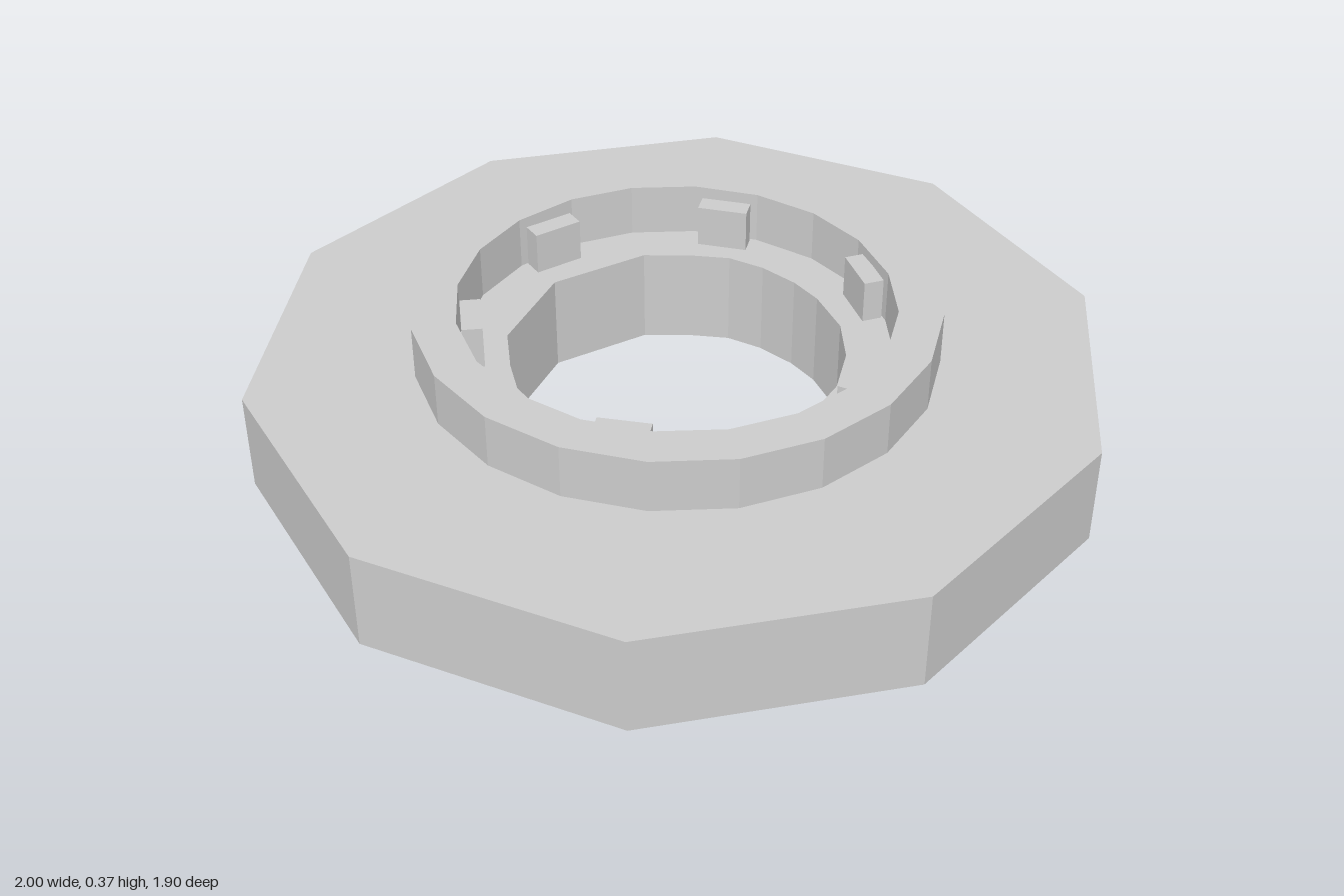
import * as THREE from 'three';

const BASE_TOP = 0.24, RING_TOP = 0.37;

// Regular polygon in plan, one corner on +x; plan points are (x, -z)
const polygon = (sides, rx, ry = rx, cy = 0) =>
  Array.from({ length: sides }, (_, i) => {
    const a = (i / sides) * Math.PI * 2;
    return new THREE.Vector2(rx * Math.cos(a), cy + ry * Math.sin(a));
  });

// Flat plate with a hole, standing from y0 to y1
function plate(name, outline, hole, y0, y1, material) {
  const shape = new THREE.Shape(outline);
  shape.holes.push(new THREE.Path(hole));
  const geometry = new THREE.ExtrudeGeometry(shape, { depth: y1 - y0, bevelEnabled: false });
  geometry.rotateX(-Math.PI / 2).translate(0, y0, 0);
  const mesh = new THREE.Mesh(geometry, material);
  mesh.name = name;
  return mesh;
}

export function createModel() {
  const group = new THREE.Group();
  group.name = 'decagonalSocket';
  const material = new THREE.MeshStandardMaterial({ color: 0xcccccc, flatShading: true });

  // Bore: right half of the outline as [x, z], back to front, then mirrored
  const half = [[0, -0.405], [0.236, -0.327], [0.316, -0.235], [0.367, -0.16], [0.388, -0.07],
    [0.388, 0.03], [0.37, 0.115], [0.316, 0.228], [0.23, 0.313], [0.12, 0.372], [0, 0.394]];
  const mirrored = half.slice(1, -1).reverse().map(([x, z]) => [-x, z]);
  const bore = [...half, ...mirrored].map(([x, z]) => new THREE.Vector2(x, -z));

  // Ten-sided base and twenty-sided raised ring
  group.add(plate('base', polygon(10, 1), bore, 0, BASE_TOP, material));
  group.add(plate('raisedRing', polygon(20, 0.606, 0.611, 0.006),
    polygon(20, 0.502, 0.511, 0.008), BASE_TOP, RING_TOP, material));

  // Six small lugs on the ledge inside the ring: x, z, turn in degrees
  const lugs = [[0.07, -0.474, -15], [0.415, -0.22, -62], [0.418, 0.214, 60],
    [0.07, 0.466, 15], [-0.415, 0.212, -59], [-0.335, -0.337, 49]];
  const height = 0.105;
  const lugGeometry = new THREE.BoxGeometry(0.122, height, 0.048);
  lugs.forEach(([x, z, turn], i) => {
    const lug = new THREE.Mesh(lugGeometry, material);
    lug.name = `lug${i + 1}`;
    lug.position.set(x, BASE_TOP + height / 2, z);
    lug.rotation.y = THREE.MathUtils.degToRad(turn);
    group.add(lug);
  });

  return group;
}
